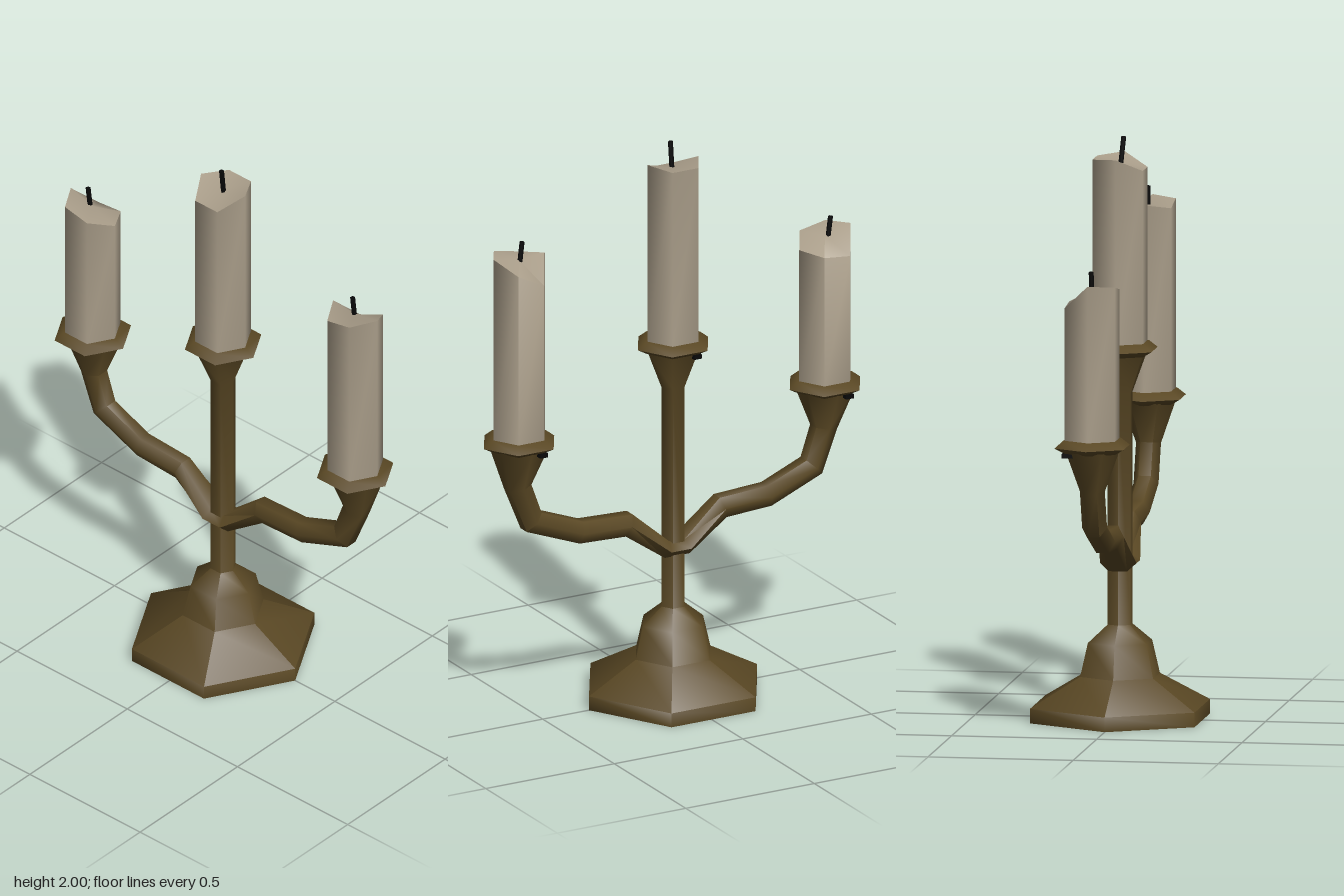
import * as THREE from 'three';
import { toCreasedNormals } from 'three/addons/utils/BufferGeometryUtils.js';

const SIDES = 6;
const CREASE = 1.1;

export function createModel() {
  const group = new THREE.Group();
  const brass = new THREE.MeshStandardMaterial({ color: 0x5a4824 });
  brass.name = 'aged brass';
  const wax = new THREE.MeshStandardMaterial({ color: 0xaa9e8a });
  wax.name = 'candle wax';
  const black = new THREE.MeshStandardMaterial({ color: 0x080808 });
  black.name = 'burnt black';

  function add(name, geometry, material, x = 0, y = 0, z = 0) {
    const mesh = new THREE.Mesh(geometry, material);
    mesh.name = name;
    mesh.position.set(x, y, z);
    group.add(mesh);
    return mesh;
  }

  // Six-sided turned part with corners on the x axis
  function turned(profile) {
    const points = profile.map(([r, y]) => new THREE.Vector2(r, y));
    return toCreasedNormals(new THREE.LatheGeometry(points, SIDES, Math.PI / 6), CREASE);
  }

  // Six-sided bar swept through [x, y, half height, half depth] sections in the xy plane
  function sweptBar(path) {
    const positions = [];
    const index = [];
    const at = (i) => new THREE.Vector2(path[i][0], path[i][1]);
    path.forEach(([x, y, h, w], i) => {
      const before = at(Math.max(i - 1, 0));
      const after = at(Math.min(i + 1, path.length - 1));
      const d1 = i > 0 ? at(i).sub(before).normalize() : null;
      const d2 = i < path.length - 1 ? after.sub(at(i)).normalize() : null;
      const t = (d1 && d2 ? d1.clone().add(d2) : (d1 || d2).clone()).normalize();
      const stretch = d1 ? 1 / t.dot(d1) : 1;
      for (let j = 0; j < SIDES; j++) {
        const a = (j / SIDES) * Math.PI * 2;
        const s = (Math.sin(a) / 0.866) * h * stretch;
        positions.push(x - t.y * s, y + t.x * s, Math.cos(a) * w);
        if (i < path.length - 1) {
          const k = i * SIDES + j;
          const n = i * SIDES + ((j + 1) % SIDES);
          index.push(k, k + SIDES, n, n, k + SIDES, n + SIDES);
        }
      }
    });
    const geometry = new THREE.BufferGeometry();
    geometry.setAttribute('position', new THREE.Float32BufferAttribute(positions, 3));
    geometry.setIndex(index);
    return toCreasedNormals(geometry, CREASE);
  }

  // Candle with an unevenly melted rim; heights run from front right round to front left
  function candle(bottom, centre, rim) {
    const geometry = new THREE.CylinderGeometry(0.1, 0.1, 1, SIDES, 1, false, Math.PI / 6);
    const p = geometry.attributes.position;
    for (let i = 0; i < p.count; i++) {
      if (p.getY(i) < 0) {
        p.setY(i, bottom);
      } else if (Math.hypot(p.getX(i), p.getZ(i)) < 0.01) {
        p.setY(i, centre);
      } else {
        const a = Math.atan2(p.getX(i), p.getZ(i)) - Math.PI / 6;
        p.setY(i, rim[(Math.round(a / (Math.PI / 3)) + SIDES) % SIDES]);
      }
    }
    return toCreasedNormals(geometry, CREASE);
  }

  // Stepped foot, stem and flared socket
  const axis = -0.007;
  add('footAndStem', turned([
    [0, 0], [0.327, 0], [0.327, 0.05], [0.145, 0.15], [0.117, 0.265],
    [0.045, 0.325], [0.045, 1.12], [0.1, 1.26],
  ]), brass, axis);

  // Both arms, swept as one bar through the stem
  add('arms', sweptBar([
    [-0.598, 1.01, 0.093, 0.095], [-0.593, 0.865, 0.041, 0.043], [-0.545, 0.733, 0.038, 0.043],
    [-0.37, 0.66, 0.038, 0.043], [-0.19, 0.65, 0.038, 0.043], [-0.045, 0.54, 0.028, 0.063],
    [0.033, 0.54, 0.028, 0.063], [0.175, 0.65, 0.038, 0.043], [0.36, 0.657, 0.038, 0.043],
    [0.545, 0.728, 0.038, 0.043], [0.597, 0.86, 0.041, 0.043], [0.592, 1.01, 0.093, 0.095],
  ]), brass);

  // Drip dish, candle, wick and small catch at each socket
  const holders = [
    { name: 'right', x: -0.598, y: 1.0, centre: 1.555,
      rim: [1.555, 1.52, 1.51, 1.5, 1.583, 1.575], wick: [-0.608, 1.53, 0, -0.62, 1.622, 0] },
    { name: 'middle', x: axis, y: 1.25, centre: 1.91,
      rim: [1.89, 1.935, 1.925, 1.925, 1.932, 1.89], wick: [-0.004, 1.89, 0, -0.004, 2, 0.012] },
    { name: 'left', x: 0.592, y: 1.0, centre: 1.68,
      rim: [1.695, 1.7, 1.655, 1.605, 1.69, 1.675], wick: [0.59, 1.66, 0, 0.58, 1.745, 0] },
  ];
  const dish = turned([[0, 0], [0.1, 0], [0.137, 0.02], [0.105, 0.045], [0, 0.045]]);
  const up = new THREE.Vector3(0, 1, 0);
  for (const { name, x, y, centre, rim, wick } of holders) {
    add(name + 'Dish', dish, brass, x, y);
    add(name + 'Candle', candle(y + 0.03, centre, rim), wax, x);
    const a = new THREE.Vector3(...wick.slice(0, 3));
    const b = new THREE.Vector3(...wick.slice(3));
    const span = b.clone().sub(a);
    const mesh = add(name + 'Wick', new THREE.CylinderGeometry(0.009, 0.009, span.length(), 5), black);
    mesh.position.copy(a).add(b).multiplyScalar(0.5);
    mesh.quaternion.setFromUnitVectors(up, span.normalize());
    add(name + 'Catch', new THREE.BoxGeometry(0.03, 0.015, 0.09), black, x - 0.045, y - 0.007, -0.05);
  }
  return group;
}
